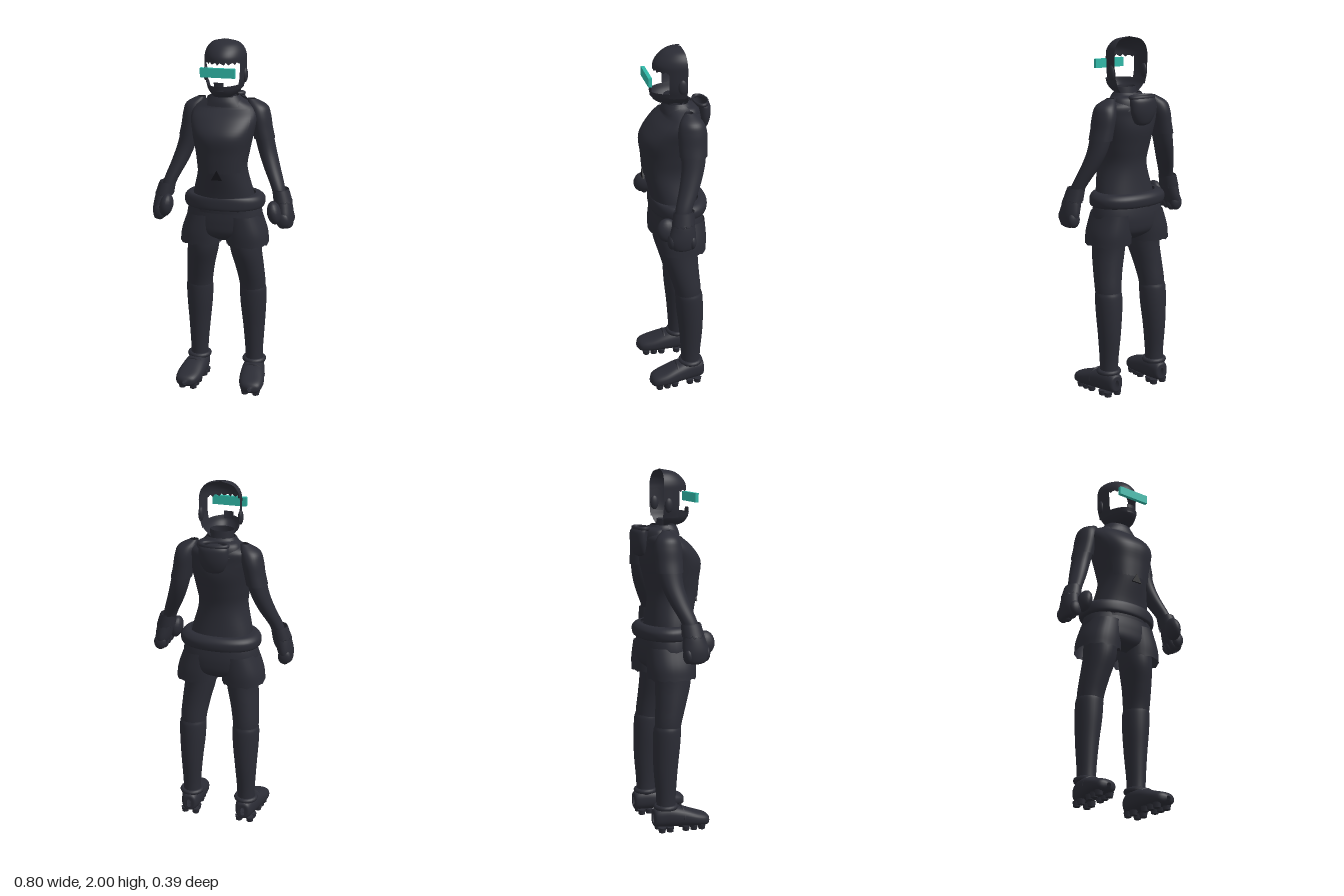
import * as THREE from 'three';

const mat = (name, color) => {
  const m = new THREE.MeshStandardMaterial({ color, side: THREE.DoubleSide });
  m.name = name;
  return m;
};

// Smooth skin over superellipse rings [x, y, z, radiusX, radiusZ], listed bottom to top.
// Options: arc in degrees measured from the front, n = squareness, jag = ragged lower edge.
function loft(rings, { from = -180, to = 180, n = 2, seg = 32, steps = 5, jag = 0 } = {}) {
  const centre = new THREE.CatmullRomCurve3(rings.map(r => new THREE.Vector3(r[0], r[1], r[2])), false, 'catmullrom');
  const radius = new THREE.CatmullRomCurve3(rings.map(r => new THREE.Vector3(r[3], r[4], 0)), false, 'catmullrom');
  const closed = to - from >= 360, cols = closed ? seg : seg + 1;
  const rows = (rings.length - 1) * steps, pos = [], idx = [];
  const pw = v => Math.sign(v) * Math.abs(v) ** (2 / n);
  for (let j = 0; j <= rows; j++) {
    const c = centre.getPoint(j / rows), r = radius.getPoint(j / rows);
    for (let i = 0; i < cols; i++) {
      const t = THREE.MathUtils.degToRad(from + (to - from) * i / seg);
      const drop = j === 0 ? jag * Math.sin(i * 2.4) : 0;
      pos.push(c.x + r.x * pw(Math.sin(t)), c.y + drop, c.z + r.y * pw(Math.cos(t)));
    }
  }
  for (let j = 0; j < rows; j++) for (let i = 0; i < seg; i++) {
    const a = j * cols + i, b = j * cols + (i + 1) % cols;
    idx.push(a, b, a + cols, b, b + cols, a + cols);
  }
  const g = new THREE.BufferGeometry();
  g.setAttribute('position', new THREE.Float32BufferAttribute(pos, 3));
  g.setIndex(idx);
  g.computeVertexNormals();
  return g;
}

export function createModel() {
  const model = new THREE.Group();
  const cloth = mat('charcoal cloth', 0x2b2c35);
  const black = mat('black trim', 0x15151a);
  const teal = mat('teal visor', 0x30b8a8);

  const add = (name, geo, m = cloth) => {
    const mesh = new THREE.Mesh(geo, m);
    mesh.name = name;
    model.add(mesh);
    return mesh;
  };
  const ball = (name, x, y, z, rx, ry, rz) => {
    const b = add(name, new THREE.SphereGeometry(1, 18, 12));
    b.position.set(x, y, z);
    b.scale.set(rx, ry, rz);
    return b;
  };

  // Head shell: open at the back and across the eyes
  add('hairCap', loft([
    [0, 1.885, -.03, .113, .15], [0, 1.92, -.03, .112, .146], [0, 1.955, -.03, .1, .122],
    [0, 1.985, -.03, .07, .08], [0, 2, -.03, .006, .008]], { from: -96, to: 96, jag: .008 }));
  add('jaw', loft([
    [0, 1.69, -.02, .045, .06], [0, 1.705, -.02, .065, .12], [0, 1.735, -.025, .088, .155],
    [0, 1.768, -.03, .1, .17]], { from: -95, to: 95 }));
  add('mouthGuard', loft([
    [0, 1.74, -.028, .092, .163], [0, 1.79, -.03, .1, .168]], { from: -16, to: 16, seg: 8 }));
  for (const s of [1, -1]) {
    const side = s > 0 ? 'left' : 'right';
    add(side + 'Cheek', loft([
      [0, 1.74, -.03, .095, .15], [0, 1.8, -.03, .11, .15], [0, 1.9, -.03, .114, .15]],
      { from: s > 0 ? 58 : -96, to: s > 0 ? 96 : -58, seg: 10 }));
    ball(side + 'Ear', s * .11, 1.81, -.018, .014, .04, .024);
  }
  add('neck', loft([[0, 1.6, -.01, .075, .065], [0, 1.67, .005, .066, .055], [0, 1.73, .01, .066, .05]]));
  add('visor', new THREE.BoxGeometry(.19, .05, .02), teal).position.set(0, 1.845, .153);

  // Upper body
  const chest = [
    [0, 1.3, .04, .135, .135], [0, 1.4, .035, .147, .148], [0, 1.5, .027, .168, .162],
    [0, 1.58, 0, .185, .133], [0, 1.635, -.03, .17, .1]];
  add('torso', loft([
    [0, 1.06, .005, .185, .128], [0, 1.16, .018, .168, .124], ...chest,
    [0, 1.675, -.02, .1, .078], [0, 1.7, -.012, .078, .062]], { n: 2.2, seg: 40 }));
  add('chestPanel', loft(chest.map(([x, y, z, rx, rz]) => [x, y, z, rx + .005, rz + .006]),
    { from: -56, to: 56, n: 2.3, jag: .004 }));
  add('collar', loft([[0, 1.645, -.015, .125, .092], [0, 1.67, -.008, .1, .08], [0, 1.695, -.005, .082, .066]]));
  const flap = new THREE.Shape([[-.03, 0], [.03, 0], [0, .055]].map(p => new THREE.Vector2(...p)));
  add('hemTriangle', new THREE.ExtrudeGeometry(flap, { depth: .008, bevelEnabled: false }), black)
    .position.set(0, 1.265, .178);

  // Hood hanging behind the neck
  add('hood', loft([
    [0, 1.53, -.145, .012, .008], [0, 1.545, -.148, .05, .028], [0, 1.6, -.152, .077, .04],
    [0, 1.66, -.15, .082, .043], [0, 1.685, -.14, .076, .04]]));
  const rim = add('hoodRim', new THREE.TorusGeometry(.074, .011, 8, 28));
  rim.rotation.x = Math.PI / 2;
  rim.scale.y = .52;
  rim.position.set(0, 1.684, -.14);
  add('hoodFold', loft([[0, 1.61, -.07, .13, .07], [0, 1.67, -.06, .115, .065], [0, 1.69, -.045, .085, .045]],
    { from: 90, to: 270 }));

  // Hips
  add('shortsSeat', loft([
    [0, .885, -.005, .05, .06], [0, .93, -.008, .19, .125], [0, 1.0, -.01, .213, .138], [0, 1.07, -.008, .205, .135],
    [0, 1.12, 0, .185, .13]], { n: 2.3 }));
  add('belt', loft([
    [0, 1.075, -.005, .195, .135], [0, 1.085, -.01, .222, .155], [0, 1.125, -.012, .226, .158],
    [0, 1.15, -.005, .205, .145], [0, 1.155, 0, .175, .125]], { n: 2.2, seg: 48, jag: .008 }));

  for (const s of [1, -1]) {
    const side = s > 0 ? 'left' : 'right';
    const m = rings => rings.map(([x, ...rest]) => [x * s, ...rest]);

    // Arm and short sleeve
    add(side + 'Arm', loft(m([
      [.32, 1.15, .035, .034, .042], [.305, 1.21, .02, .038, .046], [.262, 1.31, -.02, .046, .055],
      [.23, 1.4, -.045, .05, .062], [.205, 1.5, -.052, .052, .07], [.185, 1.58, -.052, .055, .074],
      [.17, 1.64, -.05, .05, .058], [.14, 1.672, -.045, .02, .02]])));
    add(side + 'Sleeve', loft(m([
      [.213, 1.46, -.052, .057, .075], [.2, 1.52, -.052, .056, .077], [.187, 1.59, -.052, .058, .077],
      [.174, 1.64, -.05, .052, .06], [.14, 1.677, -.045, .022, .022]])));

    // Glove with cuff, thumb side and curled fingers
    add(side + 'Glove', loft(m([
      [.368, .985, .04, .012, .03], [.368, 1.0, .042, .028, .055], [.358, 1.05, .042, .042, .073],
      [.346, 1.11, .036, .045, .064], [.335, 1.16, .032, .042, .053], [.325, 1.2, .028, .04, .05]])));
    add(side + 'GloveCuff', loft(m([[.338, 1.13, .033, .052, .062], [.322, 1.195, .026, .046, .056]]), { jag: .01 }));
    ball(side + 'Thumb', s * .305, 1.085, .115, .037, .065, .055).rotation.z = s * .2;
    for (let i = 0; i < 4; i++)
      ball(side + 'Finger' + (i + 1), s * (.362 - .004 * i), 1.025 + .006 * Math.abs(i - 1), -.008 + i * .036, .036, .044, .023);

    // Shorts leg, thigh and lower leg
    add(side + 'ShortsLeg', loft(m([
      [.132, .868, -.008, .118, .132], [.125, .94, -.008, .115, .136], [.105, 1.04, -.008, .1, .132]]),
      { n: 2.3, jag: .005 }));
    add(side + 'Thigh', loft(m([
      [.155, .54, -.045, .068, .068], [.154, .62, -.037, .074, .075], [.142, .72, -.018, .08, .086],
      [.124, .83, 0, .088, .1], [.115, .94, 0, .09, .105]])));
    add(side + 'LowerLeg', loft(m([
      [.163, .1, -.055, .05, .054], [.163, .2, -.055, .051, .056], [.161, .35, -.056, .062, .068],
      [.158, .48, -.05, .073, .076], [.157, .57, -.045, .076, .077], [.156, .6, -.042, .071, .073]])));

    // Shoe, skinned from heel to toe
    const shoe = loft(m([
      [.163, -.13, -.075, .012, .025], [.163, -.122, -.08, .042, .05], [.166, -.05, -.085, .06, .062],
      [.174, .03, -.077, .069, .056], [.184, .11, -.062, .071, .043], [.19, .17, -.052, .054, .032],
      [.191, .192, -.048, .012, .012]]), { n: 2.4 });
    add(side + 'Shoe', shoe.rotateX(Math.PI / 2));
    const cuff = add(side + 'AnkleCuff', new THREE.TorusGeometry(.056, .014, 8, 24));
    cuff.rotation.x = Math.PI / 2;
    cuff.position.set(s * .164, .138, -.055);
    const strap = add(side + 'Strap', new THREE.TorusGeometry(.062, .008, 6, 24, Math.PI));
    strap.position.set(s * .176, .072, .03);

    // Ridged sole
    for (let i = 0; i < 6; i++) for (const k of [-1, 1]) {
      if (i === 2) continue;
      add(side + 'SoleLug', new THREE.CylinderGeometry(.024, .019, .028, 8))
        .position.set(s * (.165 + .004 * i) + k * .032, .014, -.09 + i * .046);
    }
  }
  return model;
}
